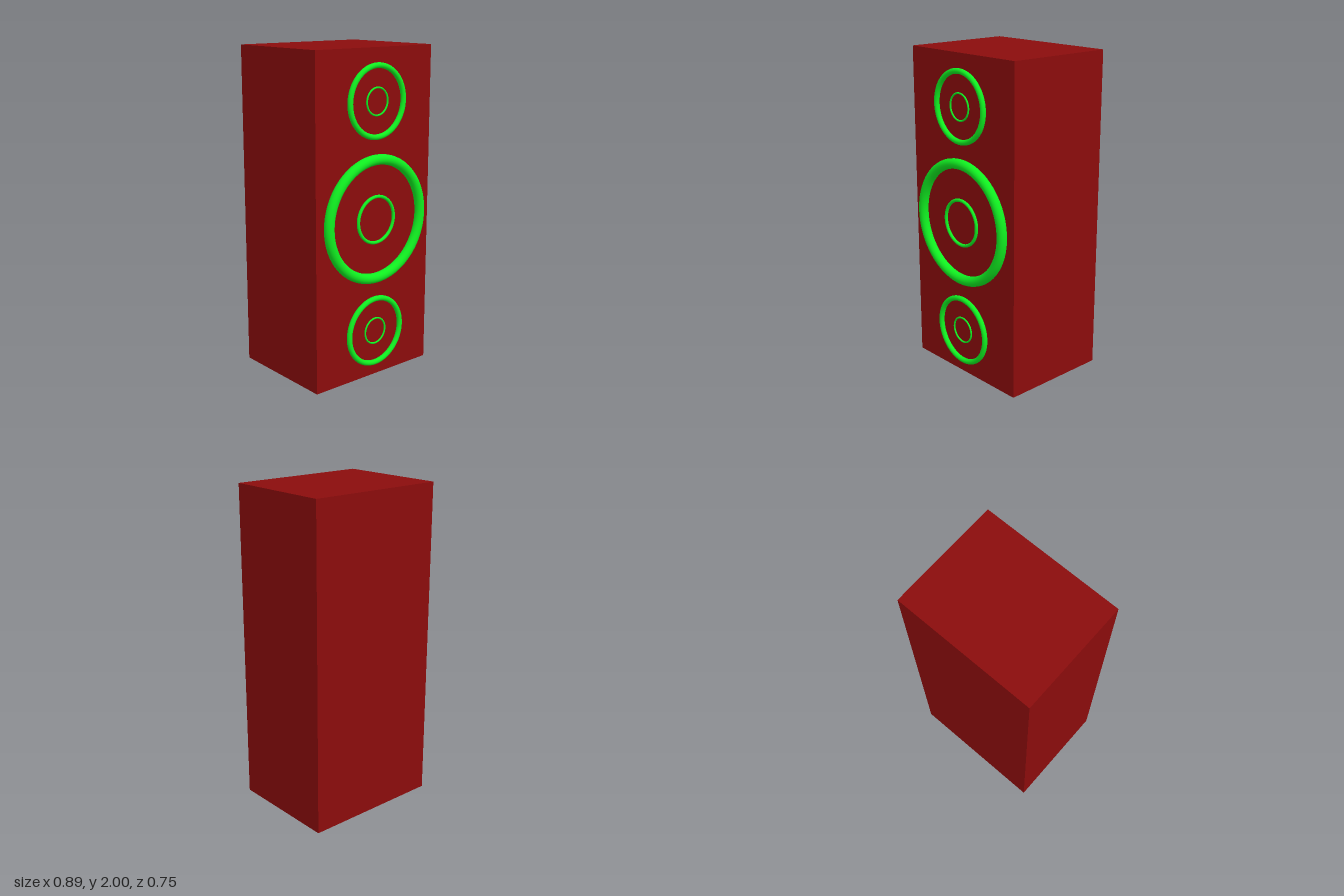
import * as THREE from 'three';

export function createModel() {
  const model = new THREE.Group();
  const red = new THREE.MeshStandardMaterial({ color: 0x8b0c0c });
  const green = new THREE.MeshStandardMaterial({ color: 0x10ee20 });

  // Plain box cabinet, its front face at z = 0.327
  const cabinet = new THREE.Mesh(new THREE.BoxGeometry(0.89, 2, 0.702), red);
  cabinet.name = 'cabinet';
  cabinet.position.set(0, 1, -0.024);
  model.add(cabinet);

  // A driver is an outer surround and a thin inner ring in one plane
  function addDriver(name, y, surround, inner) {
    const driver = new THREE.Group();
    driver.name = name;
    driver.position.set(0, y, 0.342);
    for (const [part, [radius, tube]] of [['surround', surround], ['innerRing', inner]]) {
      const ring = new THREE.Mesh(new THREE.TorusGeometry(radius, tube, 20, 80), green);
      ring.name = part;
      driver.add(ring);
    }
    model.add(driver);
  }

  addDriver('upperDriver', 1.693, [0.206, 0.0165], [0.08, 0.0055]);
  addDriver('mainDriver', 0.993, [0.361, 0.031], [0.14, 0.01]);
  addDriver('lowerDriver', 0.292, [0.206, 0.0165], [0.08, 0.0055]);

  return model;
}
